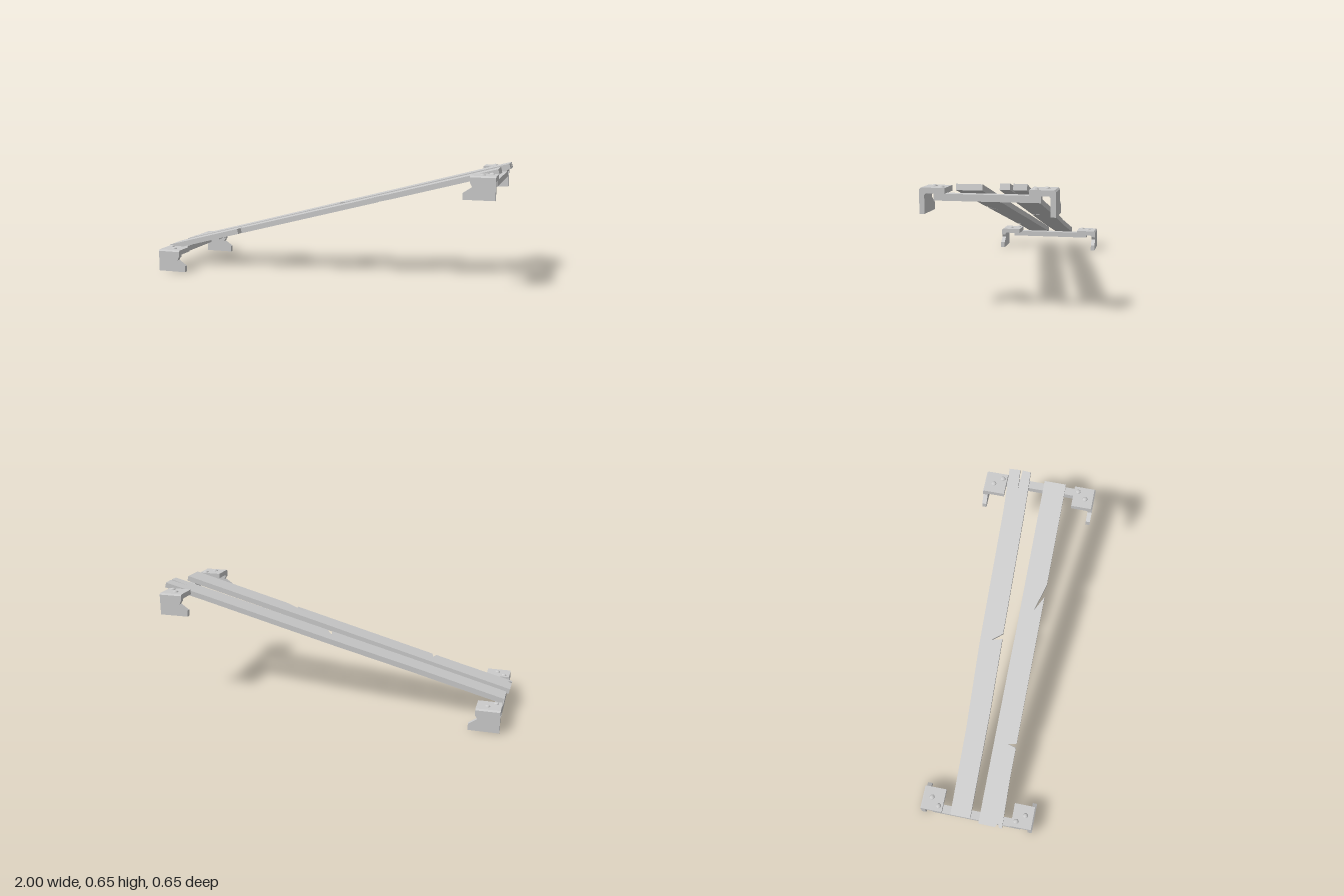
import * as THREE from 'three';

const grey = new THREE.MeshStandardMaterial({ color: 0xcccccc, flatShading: true });
const SLOPE = Math.atan(0.267);
const CENTER = -0.007; // midpoint between the two supports

function extrude(points, depth) {
  const shape = new THREE.Shape(points.map(([a, b]) => new THREE.Vector2(a, b)));
  return new THREE.ExtrudeGeometry(shape, { depth, bevelEnabled: false });
}

function addMesh(parent, name, geometry) {
  const mesh = new THREE.Mesh(geometry, grey);
  mesh.name = name;
  parent.add(mesh);
  return mesh;
}

// Outline points are [x, z]; the board is tilted along the slope
function plank(name, outline) {
  const geometry = extrude(outline.map(([x, z]) => [x / Math.cos(SLOPE), -z]), 0.03);
  geometry.rotateX(-Math.PI / 2).rotateZ(SLOPE).translate(0, 0.357, 0);
  const mesh = new THREE.Mesh(geometry, grey);
  mesh.name = name;
  return mesh;
}

// Bent plate with a hooked side flange and two rivets; s is the z side
function bracket(s) {
  const group = new THREE.Group();
  group.name = s > 0 ? 'frontBracket' : 'backBracket';

  const bend = [[0.2, 0.097], [0.293, 0.097], [0.3, 0.09], [0.3, 0.085],
    [0.325, 0.085], [0.325, 0.117], [0.317, 0.125], [0.2, 0.125]];
  const top = extrude(bend.map(([z, y]) => [-s * z, y]), 0.132);
  addMesh(group, 'topPlate', top.rotateY(Math.PI / 2).translate(-0.977, 0, 0));

  const flange = extrude([[-0.977, 0], [-0.81, 0], [-0.81, 0.035],
    [-0.857, 0.067], [-0.848, 0.085], [-0.977, 0.085]], 0.025);
  addMesh(group, 'sideFlange', flange.translate(0, 0, s > 0 ? 0.3 : -0.325));

  for (const [x, z] of [[-0.945, 0.225], [-0.903, 0.272]]) {
    const dome = new THREE.SphereGeometry(0.015, 10, 3, 0, Math.PI * 2, 0, Math.PI / 2);
    addMesh(group, 'rivet', dome.scale(1, 0.6, 1).translate(x, 0.125, s * z));
  }
  return group;
}

// Crossbar carried by a pair of brackets
function support(name) {
  const group = new THREE.Group();
  group.name = name;
  const parts = new THREE.Group();
  parts.position.x = -CENTER;
  addMesh(parts, 'crossbar', new THREE.BoxGeometry(0.048, 0.033, 0.51)).position.set(-0.953, 0.0815, 0);
  parts.add(bracket(1), bracket(-1));
  group.add(parts);
  group.position.x = CENTER;
  return group;
}

export function createModel() {
  const model = new THREE.Group();
  model.name = 'slopedPlankBridge';

  const low = support('lowSupport');
  const high = support('highSupport');
  high.rotation.y = Math.PI;
  high.position.y = 0.497;
  model.add(low, high);

  // Boards with splits and chipped edges
  model.add(plank('frontPlank', [
    [-0.992, 0.155], [-0.992, 0.138], [-0.968, 0.128], [-0.992, 0.113], [-0.99, 0.018],
    [-0.1, 0.02], [0.1, 0.022], [0.96, 0.02], [0.96, 0.147],
    [0.375, 0.147], [0.22, 0.1], [0.305, 0.147],
    [-0.525, 0.147], [-0.535, 0.098], [-0.548, 0.147], [-0.72, 0.147],
  ]));
  model.add(plank('backPlank', [
    [-0.972, -0.148], [-0.5, -0.153], [0, -0.173], [0.76, -0.185], [0.995, -0.197],
    [0.998, -0.133], [0.89, -0.125], [0.998, -0.118], [0.995, -0.07],
    [0.76, -0.062], [0.06, -0.049], [0.015, -0.107], [0.03, -0.047],
    [-0.4, -0.036], [-0.972, -0.033],
  ]));
  return model;
}
